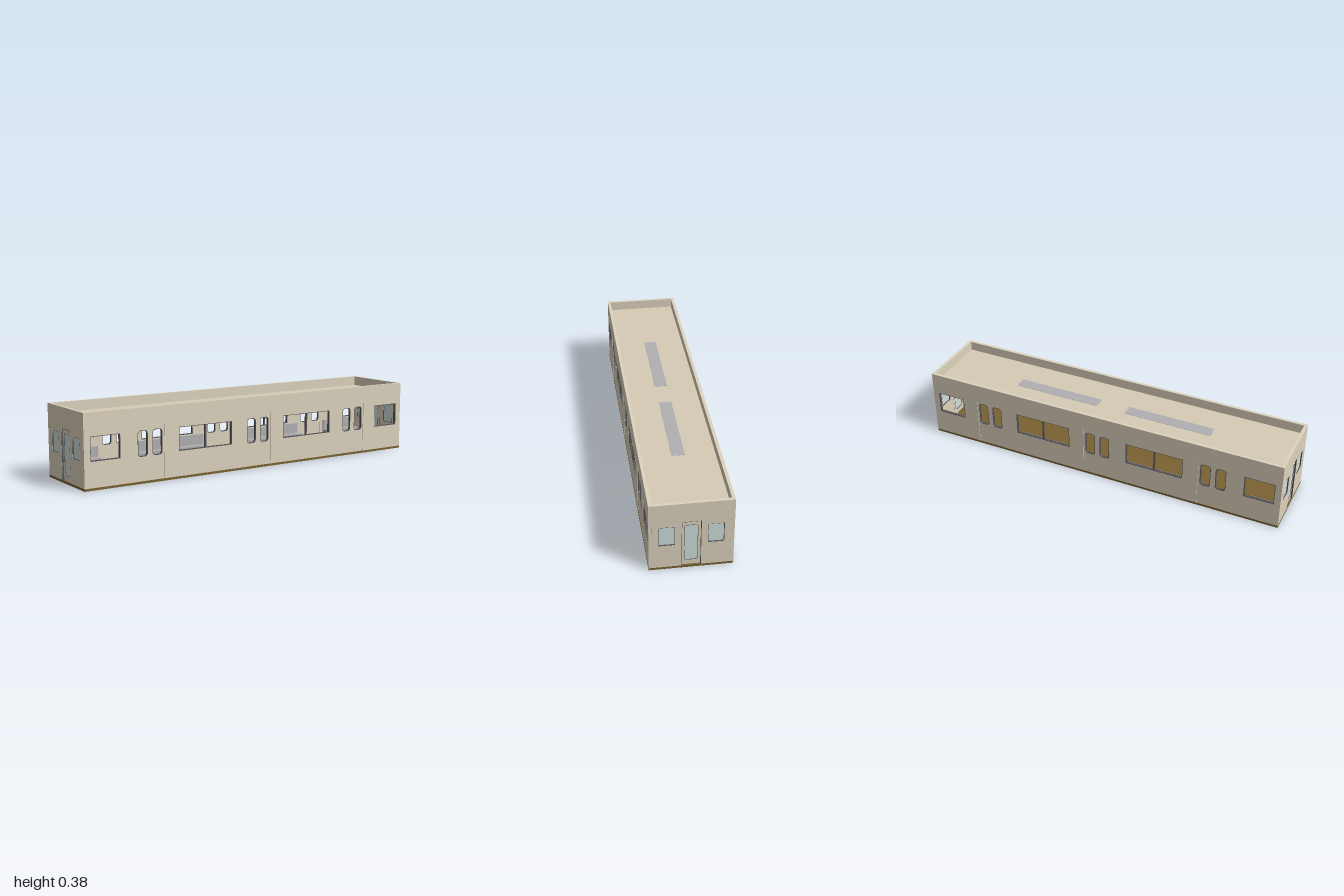
import * as THREE from 'three';

const mat = (color) => new THREE.MeshStandardMaterial({ color });
const cream = mat(0xddd3be), roofTone = mat(0xd6cbb6), brown = mat(0x7a6232);
const dark = mat(0x55555a), glass = mat(0xcfdfdc), grey = mat(0xb0b0b2), steel = mat(0x8a8a8e);

const FLOOR = 0.012, TOP = 0.377, WALL = 0.016, ROOF = 0.326;

// Rounded rectangle from corner coordinates, as a Shape or a Path
function rect(x0, x1, y0, y1, r = 0, Type = THREE.Shape) {
  const p = new Type();
  if (!r) {
    p.moveTo(x0, y0).lineTo(x1, y0).lineTo(x1, y1).lineTo(x0, y1).closePath();
    return p;
  }
  p.absarc(x1 - r, y0 + r, r, -Math.PI / 2, 0);
  p.absarc(x1 - r, y1 - r, r, 0, Math.PI / 2);
  p.absarc(x0 + r, y1 - r, r, Math.PI / 2, Math.PI);
  p.absarc(x0 + r, y0 + r, r, Math.PI, Math.PI * 1.5);
  p.closePath();
  return p;
}

// Plate centred on its own z = 0
function plate(name, shape, depth, material) {
  const g = new THREE.ExtrudeGeometry(shape, { depth, bevelEnabled: false, curveSegments: 6 });
  g.translate(0, 0, -depth / 2);
  const m = new THREE.Mesh(g, material);
  m.name = name;
  return m;
}

function box(name, w, h, d, x, y, z, material) {
  const m = new THREE.Mesh(new THREE.BoxGeometry(w, h, d), material);
  m.position.set(x, y, z);
  m.name = name;
  return m;
}

// Thin lining around an opening
function lining(name, [x0, x1, y0, y1, r = 0], depth, t = 0.003) {
  const s = rect(x0, x1, y0, y1, r);
  s.holes.push(rect(x0 + t, x1 - t, y0 + t, y1 - t, r ? r - t : 0, THREE.Path));
  return plate(name, s, depth, dark);
}

// Wall with door notches along the bottom edge and window holes
function wall(name, half, doors, windows) {
  const s = new THREE.Shape();
  s.moveTo(-half, FLOOR);
  for (const [x0, x1, h] of doors) s.lineTo(x0, FLOOR).lineTo(x0, h).lineTo(x1, h).lineTo(x1, FLOOR);
  s.lineTo(half, FLOOR).lineTo(half, TOP).lineTo(-half, TOP).closePath();
  for (const w of windows) s.holes.push(rect(w[0], w[1], w[2], w[3], 0, THREE.Path));
  return plate(name, s, WALL, cream);
}

// Long side: three doors and four windows, outside facing +z
function makeSide() {
  const g = new THREE.Group();
  const windows = [[-0.967, -0.807], [-0.48, -0.163], [0.163, 0.48], [0.807, 0.967]]
    .map(([a, b]) => [a, b, 0.14, 0.262]);
  const centres = [-0.643, 0, 0.643];
  g.add(wall('sideWall', 1, centres.map((c) => [c - 0.08, c + 0.08, 0.285]), windows));
  for (const w of windows) {
    g.add(lining('windowFrame', w, WALL - 0.001));
    if (w[1] - w[0] > 0.2) g.add(box('windowDivider', 0.007, 0.122, 0.01, (w[0] + w[1]) / 2, 0.201, 0, dark));
  }
  for (const c of centres) {
    const s = rect(c - 0.0795, c + 0.0795, FLOOR, 0.2845);
    for (const k of [-1, 1]) {
      const m = c + k * 0.041;
      const o = [m - 0.028, m + 0.028, 0.134, 0.265, 0.017];
      s.holes.push(rect(...o, THREE.Path));
      g.add(lining('doorWindowFrame', o, 0.0125));
    }
    g.add(plate('sideDoor', s, 0.012, cream));
  }
  return g;
}

// End wall: gangway door between two glazed windows, outside facing +z
function makeEnd() {
  const g = new THREE.Group();
  const windows = [[-0.153, -0.077, 0.14, 0.248], [0.077, 0.153, 0.14, 0.248]];
  g.add(wall('endWall', 0.1838, [[-0.046, 0.046, 0.271]], windows));
  for (const w of windows) {
    g.add(lining('endWindowFrame', w, WALL - 0.001, 0.002));
    g.add(plate('endWindowGlass', rect(...w), 0.003, glass));
  }
  const o = [-0.032, 0.032, 0.038, 0.246, 0.012];
  const s = rect(-0.046, 0.046, FLOOR, 0.271);
  s.holes.push(rect(...o, THREE.Path));
  const door = new THREE.Group();
  door.name = 'endDoor';
  door.add(plate('endDoorPanel', s, 0.006, cream), lining('endDoorGlassFrame', o, 0.007, 0.002),
    plate('endDoorGlass', rect(...o), 0.003, glass));
  door.position.z = -0.003;
  // Dark casing around the doorway
  const casing = new THREE.Shape();
  casing.moveTo(-0.046, FLOOR).lineTo(-0.044, FLOOR).lineTo(-0.044, 0.269).lineTo(0.044, 0.269)
    .lineTo(0.044, FLOOR).lineTo(0.046, FLOOR).lineTo(0.046, 0.271).lineTo(-0.046, 0.271).closePath();
  g.add(door, plate('endDoorCasing', casing, WALL - 0.001, dark));
  return g;
}

// Bench along one side wall
function makeBench(x0, x1) {
  const g = new THREE.Group(), w = x1 - x0, x = (x0 + x1) / 2;
  g.name = 'bench';
  g.add(box('seat', w, 0.022, 0.045, x, 0.068, 0.16, grey),
    box('seatBack', w, 0.055, 0.01, x, 0.107, 0.178, grey),
    box('seatBase', w, 0.045, 0.03, x, 0.0345, 0.168, steel));
  return g;
}

export function createModel() {
  const model = new THREE.Group();
  model.add(box('floor', 2, FLOOR, 0.4, 0, FLOOR / 2, 0, brown));
  model.add(box('roof', 1.968, 0.008, 0.368, 0, ROOF - 0.004, 0, roofTone));
  for (const s of [-1, 1])
    model.add(box('ceilingStrip', 0.48, 0.012, 0.066, s * 0.32, ROOF - 0.005, -0.002, grey));

  for (const s of [1, -1]) {
    const turn = s > 0 ? 0 : Math.PI;
    const side = makeSide();
    side.name = s > 0 ? 'frontSide' : 'backSide';
    side.position.z = s * (0.2 - WALL / 2);
    side.rotation.y = turn;
    const end = makeEnd();
    end.name = s > 0 ? 'leftEnd' : 'rightEnd';
    end.position.x = s * (1 - WALL / 2);
    end.rotation.y = s * Math.PI / 2;

    // Benches between the doors, grab rail and hand straps below the ceiling
    const interior = new THREE.Group();
    interior.name = 'interior';
    interior.rotation.y = turn;
    for (const [a, b] of [[-0.975, -0.74], [-0.545, -0.1], [0.1, 0.545], [0.74, 0.975]])
      interior.add(makeBench(a, b));
    const rail = new THREE.Mesh(new THREE.CylinderGeometry(0.003, 0.003, 1.96, 8), steel);
    rail.name = 'grabRail';
    rail.rotation.z = Math.PI / 2;
    rail.position.set(0, 0.3, 0.1);
    interior.add(rail);
    for (let i = -12; i <= 12; i++) {
      const strap = new THREE.Mesh(new THREE.TorusGeometry(0.01, 0.002, 5, 12), steel);
      strap.name = 'handStrap';
      strap.position.set(i * 0.075, 0.283, 0.1);
      interior.add(strap, box('strapBand', 0.003, 0.03, 0.003, i * 0.075, 0.307, 0.1, steel));
    }
    model.add(side, end, interior);
  }
  return model;
}
